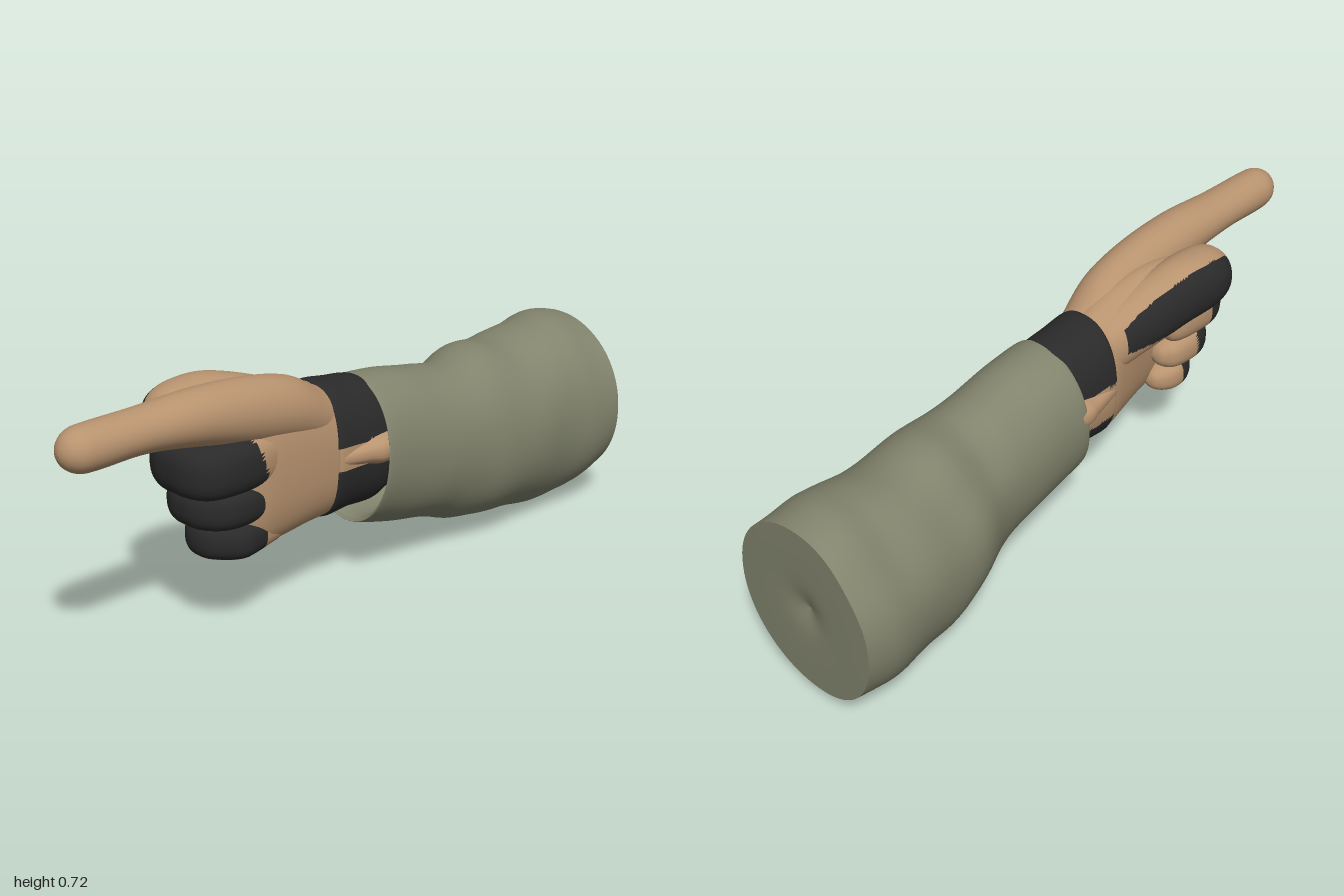
import * as THREE from 'three';

const skin = new THREE.MeshStandardMaterial({ color: 0xb8936f });
skin.name = 'tan';
const black = new THREE.MeshStandardMaterial({ color: 0x2a2a2a });
black.name = 'black';
const olive = new THREE.MeshStandardMaterial({ color: 0x82846d });
olive.name = 'olive';

const catmull = (a, b, c, d, t) =>
  0.5 * (2 * b + (c - a) * t + (2 * a - 5 * b + 4 * c - d) * t * t + (3 * b - a - 3 * c + d) * t * t * t);

// Smooth skin through sections [x, y, z, halfWidth, halfHeight].
// bend: rings turn with the path; otherwise they face straight along z.
// pick(centroid) chooses the material index; swell(angle, z) scales a ring;
// lean(z) tilts a ring backwards at its top.
function sweep(name, sections, materials, o = {}) {
  const { bend = false, power = 2, steps = 8, sides = 48 } = o;
  const { pick = () => 0, swell = () => 1, lean = () => 0 } = o;
  const rings = [];
  const last = sections.length - 1;
  for (let s = 0; s < last; s++) {
    const at = (k) => sections[Math.min(last, Math.max(0, k))];
    for (let k = 0; k < steps + (s === last - 1 ? 1 : 0); k++) {
      rings.push(at(s).map((_, c) =>
        catmull(at(s - 1)[c], at(s)[c], at(s + 1)[c], at(s + 2)[c], k / steps)));
    }
  }
  const points = [];
  const up = new THREE.Vector3(0, 1, 0);
  rings.forEach(([x, y, z, w, h], j) => {
    const side = new THREE.Vector3(1, 0, 0);
    if (bend) {
      const p = rings[Math.max(0, j - 1)], q = rings[Math.min(rings.length - 1, j + 1)];
      side.crossVectors(up, new THREE.Vector3(q[0] - p[0], 0, q[2] - p[2])).normalize();
    }
    for (let i = 0; i < sides; i++) {
      const a = (i / sides) * Math.PI * 2;
      const c = Math.cos(a), n = Math.sin(a), f = swell(a, z);
      const u = Math.sign(c) * Math.abs(c) ** (2 / power) * Math.max(0, w) * f;
      const v = Math.sign(n) * Math.abs(n) ** (2 / power) * Math.max(0, h) * f;
      points.push(new THREE.Vector3(x, y + v, z - lean(z) * v).addScaledVector(side, u));
    }
  });
  const faces = materials.map(() => []);
  const addFace = (...f) => {
    const mid = new THREE.Vector3();
    f.forEach((i) => mid.addScaledVector(points[i], 1 / 3));
    faces[pick(mid)].push(...f);
  };
  for (let j = 0; j < rings.length - 1; j++) {
    for (let i = 0; i < sides; i++) {
      const n = (i + 1) % sides;
      const a = j * sides + i, b = j * sides + n, c = a + sides, d = b + sides;
      addFace(a, b, c);
      addFace(b, d, c);
    }
  }
  const geometry = new THREE.BufferGeometry().setFromPoints(points);
  geometry.setIndex(faces.flat());
  let start = 0;
  faces.forEach((f, m) => {
    geometry.addGroup(start, f.length, m);
    start += f.length;
  });
  geometry.computeVertexNormals();
  const mesh = new THREE.Mesh(geometry, materials);
  mesh.name = name;
  return mesh;
}

// Cloth folds and a flatter upper right side, fading out towards the cuff
function folds(a, z) {
  const fade = Math.min(1, Math.max(0, (-z - 0.12) / 0.3));
  const flat = 0.06 * Math.exp(-(((a - 2.4) / 0.45) ** 2));
  return 1 + fade * (0.011 * Math.sin(3 * a + 17 * z) + 0.008 * Math.sin(2 * a - 29 * z + 1) - flat);
}

export function createModel() {
  const model = new THREE.Group();

  // Sleeve, turning inward at the slanted cuff
  const sleeve = [
    [-0.01, 0.3, -1, 0.25, 0.258],
    [-0.008, 0.295, -0.9, 0.248, 0.283],
    [-0.002, 0.285, -0.8, 0.238, 0.28],
    [0.013, 0.285, -0.65, 0.228, 0.268],
    [0.033, 0.303, -0.52, 0.22, 0.258],
    [0.058, 0.308, -0.4, 0.188, 0.24],
    [0.068, 0.332, -0.3, 0.175, 0.23],
    [0.075, 0.362, -0.15, 0.167, 0.227],
    [0.078, 0.382, -0.037, 0.165, 0.216],
    [0.078, 0.382, -0.028, 0.157, 0.208],
    [0.078, 0.38, -0.06, 0.15, 0.198],
    [0.078, 0.375, -0.25, 0.14, 0.19],
    [0.078, 0.375, -0.3, 0, 0],
  ];
  model.add(sweep('sleeve', sleeve, [olive], {
    sides: 72, power: 2.1, swell: folds, lean: (z) => 0.06 * Math.max(0, (z + 0.3) / 0.27),
  }));

  // Back end of the sleeve, slightly dented in the middle
  const end = [
    [-0.01, 0.3, -0.98, 0, 0],
    [-0.01, 0.3, -0.995, 0.06, 0.06],
    [-0.01, 0.3, -1, 0.12, 0.125],
    [-0.01, 0.3, -1, 0.25, 0.258],
  ];
  model.add(sweep('sleeveEnd', end, [olive], {
    sides: 72, power: 2.1, steps: 4, swell: (a) => folds(a, -1),
  }));

  // Wrist with a strap that leaves a gap on each side
  const wrist = [
    [0.075, 0.39, -0.28, 0.1, 0.12],
    [0.075, 0.4, -0.12, 0.112, 0.15],
    [0.075, 0.412, -0.05, 0.127, 0.184],
    [0.075, 0.42, 0.04, 0.13, 0.19],
    [0.077, 0.422, 0.115, 0.13, 0.198],
    [0.078, 0.422, 0.128, 0.118, 0.185],
    [0.078, 0.422, 0.13, 0.1, 0.16],
  ];
  const strapGap = (p) => (p.x > 0.075 ? p.y > 0.385 && p.y < 0.455 : p.y > 0.33 && p.y < 0.45);
  model.add(sweep('wristStrap', wrist, [skin, black], {
    power: 2.3, sides: 96, pick: (p) => (strapGap(p) ? 0 : 1),
  }));

  // Sides of the wrist, flaring out of the strap gaps into the cuff
  const flare = [
    [0.075, 0.418, -0.15, 0.135, 0.06],
    [0.075, 0.418, -0.03, 0.163, 0.057],
    [0.075, 0.42, 0.03, 0.152, 0.046],
    [0.077, 0.42, 0.125, 0.128, 0.036],
  ];
  model.add(sweep('wristSides', flare, [skin], { power: 2.6 }));

  // Palm and back of the hand
  const palm = [
    [0.077, 0.42, 0.06, 0.115, 0.175],
    [0.078, 0.423, 0.13, 0.12, 0.19],
    [0.09, 0.432, 0.2, 0.114, 0.2],
    [0.11, 0.437, 0.3, 0.1, 0.21],
    [0.125, 0.43, 0.39, 0.086, 0.205],
    [0.125, 0.43, 0.45, 0.07, 0.18],
    [0.125, 0.43, 0.48, 0.04, 0.12],
    [0.125, 0.43, 0.49, 0, 0],
  ];
  model.add(sweep('palm', palm, [skin], { power: 2.6 }));

  // Pointing finger
  const pointer = [
    [0.085, 0.515, 0.08, 0.075, 0.08],
    [0.1, 0.535, 0.14, 0.085, 0.085],
    [0.125, 0.585, 0.25, 0.085, 0.092],
    [0.138, 0.618, 0.4, 0.082, 0.092],
    [0.142, 0.645, 0.58, 0.076, 0.077],
    [0.14, 0.653, 0.75, 0.067, 0.061],
    [0.141, 0.651, 0.9, 0.064, 0.062],
    [0.142, 0.651, 0.95, 0.059, 0.058],
    [0.143, 0.651, 0.98, 0.042, 0.042],
    [0.143, 0.651, 0.995, 0.021, 0.021],
    [0.143, 0.651, 1, 0, 0],
  ];
  model.add(sweep('pointingFinger', pointer, [skin]));

  // Web between thumb and pointing finger
  const web = [
    [0.07, 0.515, 0.08, 0.07, 0.08],
    [0.068, 0.555, 0.2, 0.08, 0.09],
    [0.062, 0.582, 0.32, 0.075, 0.092],
    [0.058, 0.59, 0.45, 0.055, 0.075],
    [0.055, 0.58, 0.53, 0.03, 0.04],
    [0.055, 0.575, 0.55, 0, 0],
  ];
  model.add(sweep('thumbWeb', web, [skin]));

  // Thumb with a dark patch on its outer face
  const thumb = [
    [0.045, 0.495, 0.1, 0.065, 0.085],
    [0.02, 0.55, 0.25, 0.08, 0.097],
    [-0.005, 0.592, 0.4, 0.086, 0.097],
    [-0.008, 0.597, 0.5, 0.091, 0.093],
    [-0.004, 0.594, 0.57, 0.078, 0.08],
    [0.002, 0.59, 0.61, 0.048, 0.05],
    [0.004, 0.59, 0.622, 0.02, 0.022],
    [0.004, 0.59, 0.625, 0, 0],
  ];
  const onPatch = (p) =>
    p.x < -0.025 - 3 * Math.max(0, p.y - 0.57) ** 2 && p.y > 0.512 && p.z > 0.18;
  model.add(sweep('thumb', thumb, [skin, black], {
    sides: 96, steps: 14, power: 2.15, pick: (p) => (onPatch(p) ? 1 : 0),
  }));

  // Curled fingers: [name, y, half height, right edge, left edge, front]
  const curled = [
    ['middleFinger', 0.492, 0.075, -0.052, 0.226, 0.63],
    ['ringFinger', 0.378, 0.06, -0.037, 0.214, 0.592],
    ['littleFinger', 0.278, 0.056, -0.012, 0.207, 0.556],
  ];
  for (const [name, y, h, right, left, front] of curled) {
    const w = 0.062, a = left - w, b = right + w, f = front - w;
    const path = [
      [a - 0.02, y, 0.33, w * 0.9, h * 0.9],
      [a, y, 0.43, w, h],
      [a, y, f - 0.035, w, h],
      [a - 0.03, y, f - 0.004, w, h],
      [(a + b) / 2, y, f, w, h],
      [b + 0.03, y, f - 0.004, w, h],
      [b, y, f - 0.035, w, h * 0.97],
      [b, y, 0.42, w, h * 0.9],
      [b + 0.004, y, 0.385, w * 0.75, h * 0.68],
      [b + 0.008, y, 0.367, w * 0.4, h * 0.36],
      [b + 0.01, y, 0.36, 0, 0],
    ];
    // Dark over the knuckles, bare at the tips and underneath
    const covered = (p) => p.y > 0.232 && p.z > 0.385 + 0.4 * Math.max(0, p.y - 0.44)
      && !(p.x < 0.07 && p.z < f - 0.04);
    model.add(sweep(name, path, [skin, black], {
      bend: true, power: 2.5, pick: (p) => (covered(p) ? 1 : 0),
    }));
  }
  return model;
}
